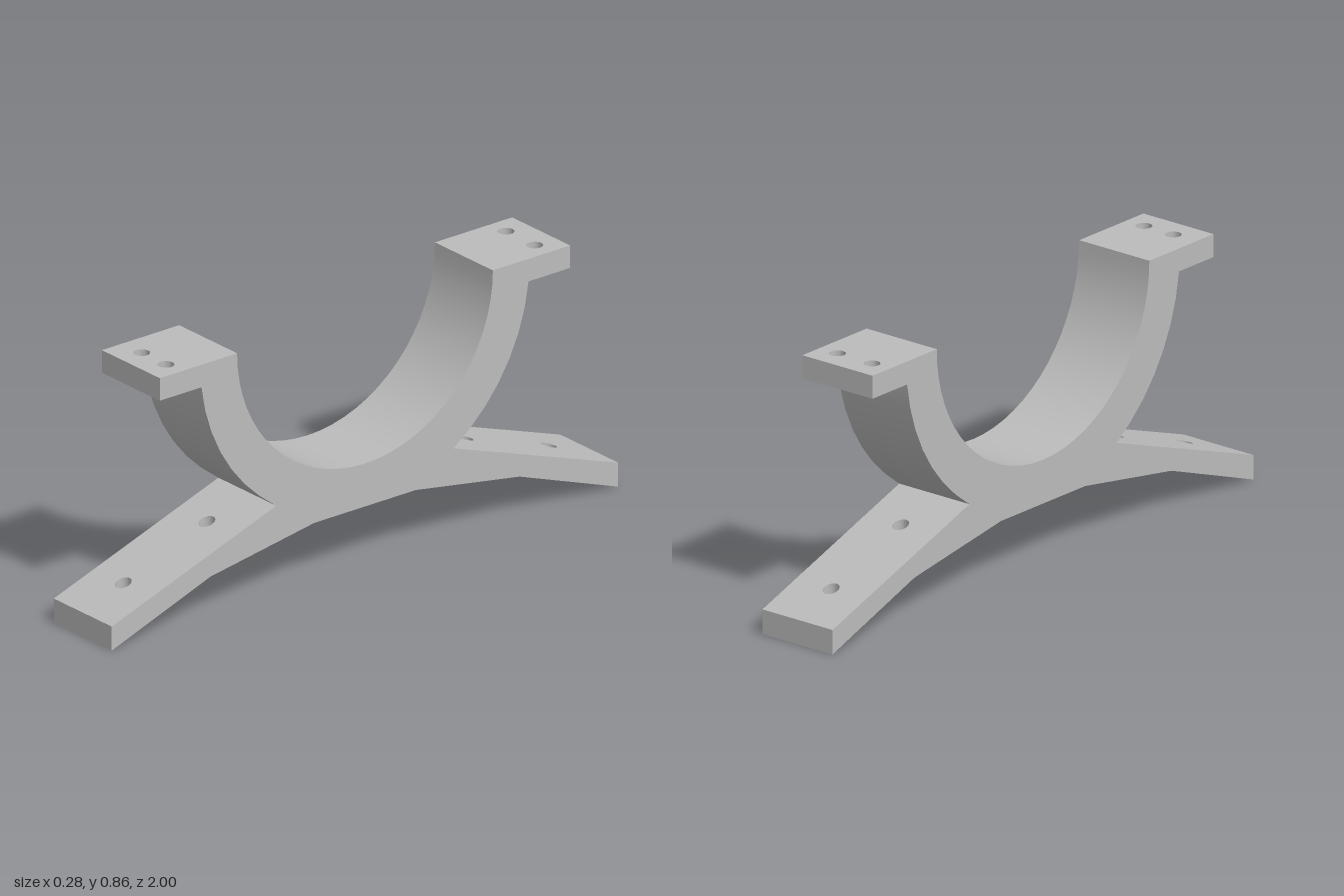
import * as THREE from 'three';
import { toCreasedNormals } from 'three/addons/utils/BufferGeometryUtils.js';

const HALF_W = 0.14;      // half the width of the strap
const TOP = 0.855;        // top of the tabs and centre of the cradle arc
const TAB_BOTTOM = 0.78;
const R_IN = 0.505;
const R_OUT = 0.65;
const HOLE_R = 0.026;
const JOIN = [0.35, 0.305];            // where leg meets cradle (z, y)
const SLOPE = (JOIN[1] - 0.08) / (1 - JOIN[0]);
const DRILL = 0.06;                    // depth of the blind leg holes

// Horizontal slab from z0 to z1 with round vertical holes, bottom at y = 0
function drilledSlab(z0, z1, height, holes) {
  const shape = new THREE.Shape([
    new THREE.Vector2(-HALF_W, -z1), new THREE.Vector2(HALF_W, -z1),
    new THREE.Vector2(HALF_W, -z0), new THREE.Vector2(-HALF_W, -z0),
  ]);
  for (const [x, z] of holes) {
    shape.holes.push(new THREE.Path().absarc(x, -z, HOLE_R, 0, Math.PI * 2, true));
  }
  const geo = new THREE.ExtrudeGeometry(shape, { depth: height, bevelEnabled: false, curveSegments: 12 });
  return geo.rotateX(-Math.PI / 2);
}

// Half of the side profile, from the middle of the underside round to the inner arc
function halfProfile() {
  const pts = [
    [0.2, 0.207], [0.61, 0.14], [1, 0],
    [1, 0.08 - DRILL], [JOIN[0], JOIN[1] - DRILL], JOIN,
  ];
  const a0 = Math.atan2(JOIN[1] - TOP, JOIN[0]);
  const a1 = Math.asin((TAB_BOTTOM - TOP) / R_OUT);
  for (let i = 1; i <= 7; i++) {
    const a = a0 + (a1 - a0) * i / 7;
    pts.push([R_OUT * Math.cos(a), TOP + R_OUT * Math.sin(a)]);
  }
  pts.push([pts[pts.length - 1][0], TOP]);
  for (let i = 0; i <= 16; i++) {
    const a = -Math.PI / 2 * i / 16;
    pts.push([R_IN * Math.cos(a), TOP + R_IN * Math.sin(a)]);
  }
  return pts;
}

export function createModel() {
  const group = new THREE.Group();
  const grey = new THREE.MeshStandardMaterial({ color: 0xbcbcbc });
  grey.name = 'grey metal';

  const add = (name, geo, parent) => {
    const mesh = new THREE.Mesh(toCreasedNormals(geo, 0.35), grey);
    mesh.name = name;
    parent.add(mesh);
  };

  // Cradle and lower legs: one mirrored profile swept across the width
  const half = halfProfile();
  const mirrored = half.slice(0, -1).reverse().map(([z, y]) => [-z, y]);
  const outline = [...half, ...mirrored].map(([z, y]) => new THREE.Vector2(z, y));
  const body = new THREE.ExtrudeGeometry(new THREE.Shape(outline), { depth: 2 * HALF_W, bevelEnabled: false });
  body.translate(0, 0, -HALF_W).rotateY(-Math.PI / 2);
  add('cradleAndLegs', body, group);

  const tabStart = R_OUT * Math.cos(Math.asin((TAB_BOTTOM - TOP) / R_OUT));
  for (const side of ['front', 'back']) {
    const end = new THREE.Group();
    end.name = side + 'End';
    if (side === 'back') end.rotation.y = Math.PI;

    // Bolt tab with two through holes
    const leftX = side === 'front' ? -0.048 : -0.069;
    const tab = drilledSlab(tabStart, 0.81, TOP - TAB_BOTTOM, [[leftX, 0.728], [0.069, 0.728]]);
    add(side + 'Tab', tab.translate(0, TAB_BOTTOM, 0), end);

    // Sloping top of the leg with two blind holes
    const plate = drilledSlab(JOIN[0], 1, DRILL, [[0, 0.51], [0, 0.84]]);
    const p = plate.attributes.position;
    for (let i = 0; i < p.count; i++) {
      p.setY(i, p.getY(i) + 0.08 - DRILL + (1 - p.getZ(i)) * SLOPE);
    }
    add(side + 'LegTop', plate, end);
    group.add(end);
  }
  return group;
}
